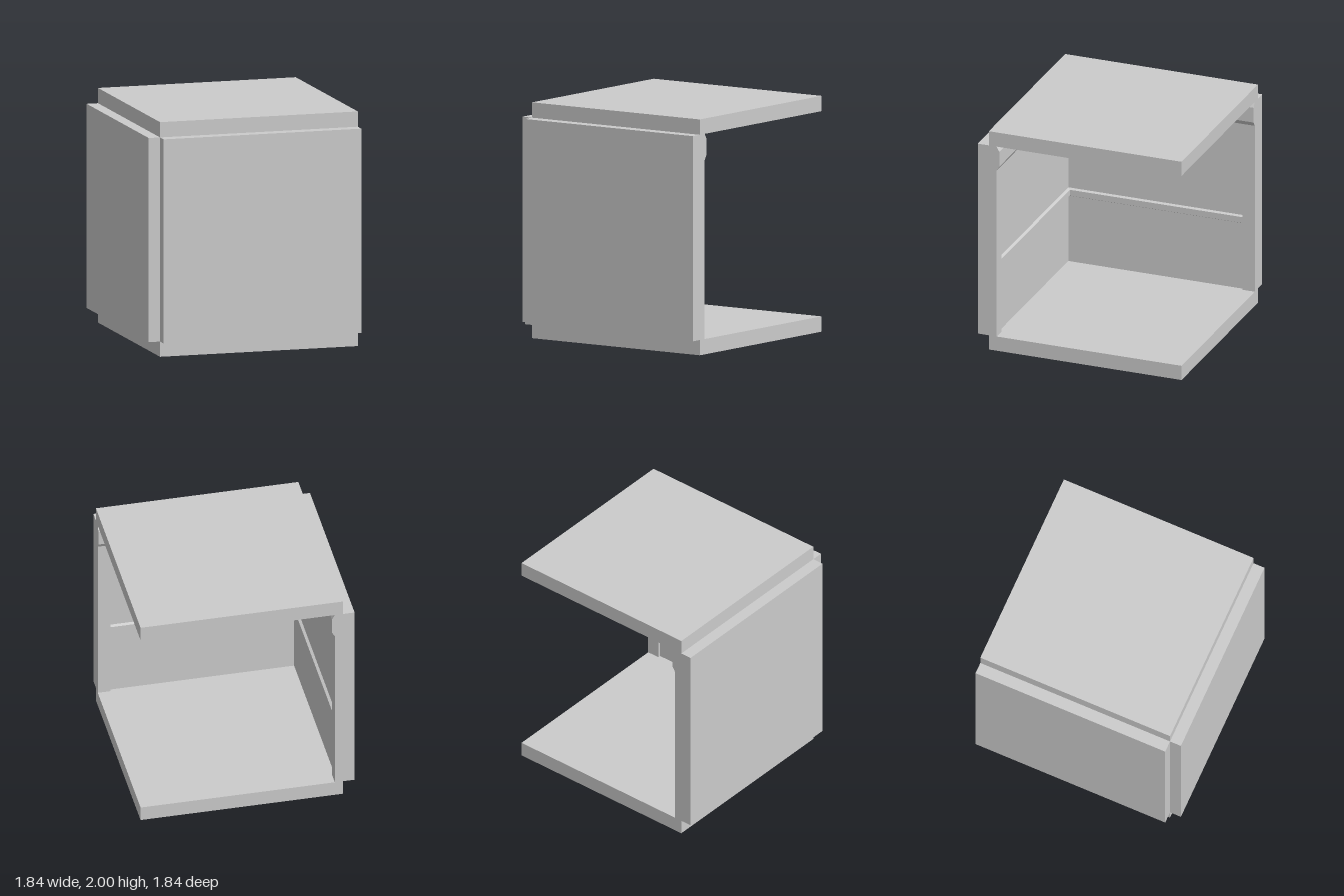
import * as THREE from 'three';

const OUT = 0.92;     // outer wall face
const SLAB = 0.82;    // slab edge beneath the walls
const FACE = 0.75;    // inner face of posts and rail
const RECESS = 0.773; // inner face of the recessed panels
const MOULD = 0.725;  // inner face of the cornice
const LOW = 0.13, HIGH = 1.87;
const POST = 0.11;

export function createModel() {
  const model = new THREE.Group();
  const material = new THREE.MeshStandardMaterial({ color: 0xcccccc, flatShading: true });

  const add = (name, geometry, parent) => {
    const mesh = new THREE.Mesh(geometry, material);
    mesh.name = name;
    parent.add(mesh);
    return mesh;
  };

  // Floor and ceiling slabs, flush with the two open sides
  for (const [name, y] of [['floorSlab', LOW / 2], ['ceilingSlab', 2 - LOW / 2]]) {
    const size = OUT + SLAB;
    add(name, new THREE.BoxGeometry(size, LOW, size), model)
      .position.set((OUT - SLAB) / 2, y, (SLAB - OUT) / 2);
  }

  // Wall sections as [distance from centre, height]
  const cornice = [[FACE, 1.65], [MOULD, 1.69], [MOULD, 1.825], [FACE, HIGH], [OUT, HIGH]];
  const postSection = [[OUT, LOW], [FACE, LOW], ...cornice];
  const panelSection = [
    [OUT, LOW], [RECESS, LOW],
    [RECESS, 0.73], [FACE, 0.742], [FACE, 0.795], [RECESS, 0.805], // bevelled rail
    [RECESS, 1.65], ...cornice,
  ];

  const extrude = (section, sign, depth) => new THREE.ExtrudeGeometry(
    new THREE.Shape(section.map(([d, y]) => new THREE.Vector2(sign * d, y))),
    { depth, bevelEnabled: false });

  // Each wall is an end post plus a panelled run that meets the other in the corner
  const parts = [['EndPost', postSection, 0, POST], ['PanelRun', panelSection, POST, OUT + SLAB - POST]];
  for (const side of ['front', 'right']) {
    const wall = new THREE.Group();
    wall.name = side + 'Wall';
    model.add(wall);
    for (const [name, section, start, length] of parts) {
      const front = side === 'front';
      const mesh = add(side + name, extrude(section, front ? 1 : -1, length), wall);
      if (front) {
        mesh.rotation.y = -Math.PI / 2;
        mesh.position.x = OUT - start;
      } else {
        mesh.position.z = start - OUT;
      }
    }
  }

  return model;
}
